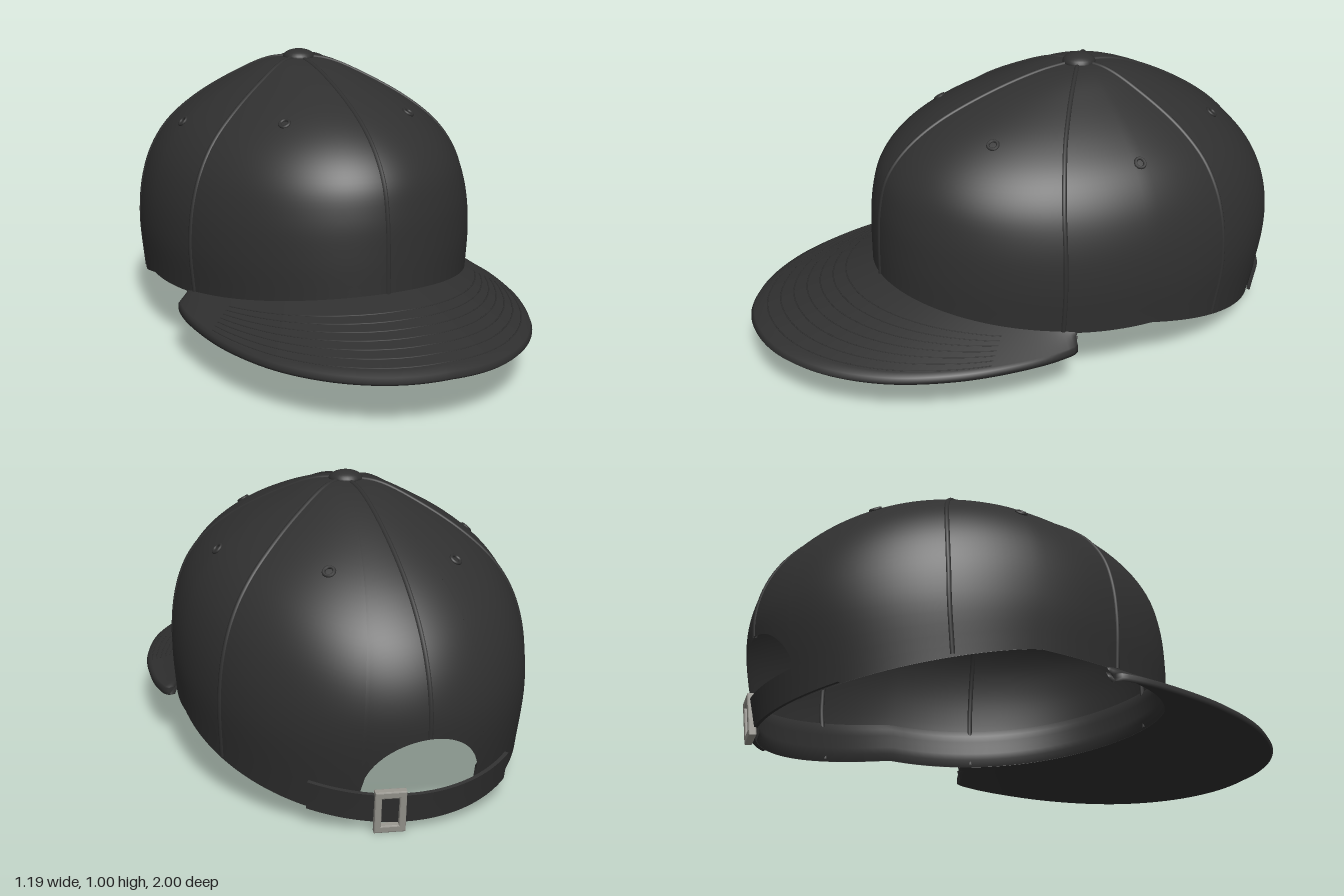
import * as THREE from 'three';
import { toCreasedNormals } from 'three/addons/utils/BufferGeometryUtils.js';

const rad = THREE.MathUtils.degToRad;
const lerp = THREE.MathUtils.lerp;
const TOP = 0.975, AXIS_Z = -0.25;

// Lower edge height of the crown at angle a (0 = front, PI = back)
function edgeY(a) {
  const c = Math.cos(a);
  return c > 0 ? 0.205 + 0.08 * c * c : 0.205 - 0.178 * Math.pow(-c, 1.05);
}

// Crown profiles as (radius, height), stored with the height as a 0..1 drop
function profile(points, a) {
  return new THREE.CatmullRomCurve3(points.map(([r, y]) =>
    new THREE.Vector3(r, (TOP - y) / (TOP - edgeY(a)), 0)));
}
const front = profile([[0, 0.975], [0.15, 0.96], [0.35, 0.91], [0.55, 0.832], [0.67, 0.75],
  [0.74, 0.66], [0.77, 0.55], [0.78, 0.42], [0.782, 0.285]], 0);
const side = profile([[0, 0.975], [0.1, 0.967], [0.23, 0.91], [0.37, 0.828], [0.47, 0.745],
  [0.535, 0.65], [0.575, 0.53], [0.59, 0.38], [0.578, 0.205]], Math.PI / 2);
const back = profile([[0, 0.975], [0.15, 0.955], [0.34, 0.875], [0.54, 0.745], [0.66, 0.62],
  [0.72, 0.51], [0.747, 0.4], [0.745, 0.3], [0.69, 0.027]], Math.PI);

function crownBase(a, t) {
  const c = Math.cos(a), s = Math.sin(a);
  const p = side.getPoint(t), q = (c > 0 ? front : back).getPoint(t);
  const drop = p.y * s * s + q.y * c * c;
  return new THREE.Vector3(p.x * s, TOP - drop * (TOP - edgeY(a)), AXIS_Z + q.x * c);
}
function crownNormal(a, t) {
  const k = Math.min(Math.max(t, 0.03), 0.98), e = 0.01;
  const da = crownBase(a + e, k).sub(crownBase(a - e, k));
  const dt = crownBase(a, k + e).sub(crownBase(a, k - e));
  return dt.cross(da).normalize();
}
function crownPoint(a, t, offset = 0) {
  const p = crownBase(a, t);
  return offset ? p.addScaledVector(crownNormal(a, t), offset) : p;
}
function tAtHeight(a, y) {
  let lo = 0, hi = 1;
  for (let i = 0; i < 24; i++) {
    const m = (lo + hi) / 2;
    if (crownBase(a, m).y > y) lo = m; else hi = m;
  }
  return (lo + hi) / 2;
}

// Surface from columns of points
function skin(columns, closed = false) {
  const n = columns[0].length, index = [];
  const last = closed ? columns.length : columns.length - 1;
  for (let i = 0; i < last; i++) {
    for (let j = 0; j < n - 1; j++) {
      const a = i * n + j, b = ((i + 1) % columns.length) * n + j;
      index.push(a, a + 1, b, b, a + 1, b + 1);
    }
  }
  const g = new THREE.BufferGeometry().setFromPoints(columns.flat());
  g.setIndex(index);
  g.computeVertexNormals();
  return g;
}
const range = (n, from, to) => Array.from({ length: n + 1 }, (_, i) => lerp(from, to, i / n));

export function createModel() {
  const group = new THREE.Group();
  const fabric = new THREE.MeshStandardMaterial({ color: 0x303030, side: THREE.DoubleSide });
  fabric.name = 'black fabric';
  const metal = new THREE.MeshStandardMaterial({ color: 0x97958e });
  metal.name = 'buckle metal';
  const add = (name, geometry, material = fabric) => {
    const m = new THREE.Mesh(geometry, material);
    m.name = name;
    group.add(m);
    return m;
  };

  // Crown, cut by an arched opening at the back
  const gap = rad(20), archWidth = 0.2;
  const angles = [
    ...range(80, 0, Math.PI - gap),
    ...range(32, Math.PI - gap + 1e-4, Math.PI + gap - 1e-4),
    ...range(80, Math.PI + gap, Math.PI * 2).slice(0, -1),
  ];
  add('crown', skin(angles.map((a) => {
    const d = Math.abs(a - Math.PI) / gap;
    const end = d < 1 ? tAtHeight(a, 0.12 + archWidth * 0.95 * Math.sqrt(1 - d * d)) : 1;
    return range(44, 0, end).map((t) => crownPoint(a, t));
  }), true));

  // Raised seams between the six panels
  for (const deg of [0, 66, 114, 180, 246, 294]) {
    const a = rad(deg);
    const end = deg === 180 ? tAtHeight(a, 0.315) : 0.995;
    const path = new THREE.CatmullRomCurve3(range(24, 0.03, end).map((t) => crownPoint(a, t, -0.003)));
    add('seam', new THREE.TubeGeometry(path, 60, 0.009, 8));
  }

  // Sewn eyelets, one per panel
  for (const [deg, t] of [[38, 0.385], [90, 0.475], [144, 0.37]]) {
    for (const sign of [1, -1]) {
      const a = rad(deg) * sign;
      const eyelet = add('eyelet', new THREE.TorusGeometry(0.017, 0.006, 8, 20));
      eyelet.position.copy(crownPoint(a, t, 0.001));
      eyelet.quaternion.setFromUnitVectors(new THREE.Vector3(0, 0, 1), crownNormal(a, t));
    }
  }

  // Top button
  const button = add('topButton', new THREE.SphereGeometry(0.059, 28, 14));
  button.scale.y = 0.5;
  button.position.set(0, 0.971, AXIS_Z);

  // Sweatband inside the lower edge
  add('sweatband', skin(range(100, -Math.PI + gap, Math.PI - gap).map((a) => {
    const start = tAtHeight(a, edgeY(a) + 0.15);
    return range(6, start, 1).map((t, j) => crownPoint(a, t, j === 0 || j === 6 ? -0.002 : -0.014));
  })));

  // Brim between the crown and its outer outline
  const half = [[0.548, 0.035], [0.575, 0.035], [0.592, 0.11], [0.59, 0.25], [0.553, 0.47],
    [0.46, 0.7], [0.32, 0.87], [0.16, 0.967]];
  const outline = new THREE.CatmullRomCurve3([
    ...half.map(([x, z]) => new THREE.Vector3(-x, 0, z)),
    new THREE.Vector3(0, 0, 0.995),
    ...half.slice().reverse().map(([x, z]) => new THREE.Vector3(x, 0, z)),
  ]);
  const brimPoint = (u, v) => {
    const a = u * rad(70);
    const inner = crownPoint(a, tAtHeight(a, edgeY(a) + 0.01), -0.006);
    const outer = outline.getPointAt((u + 1) / 2);
    outer.y = 0.184 - 0.012 * Math.sin(Math.PI * Math.abs(u));
    return inner.lerp(outer, v);
  };
  const thick = 0.026;
  add('brim', skin(range(110, -1, 1).map((u) => {
    const top = range(12, 0, 0.975).map((v) => brimPoint(u, v));
    const edge = brimPoint(u, 1);
    edge.y -= thick / 2;
    const under = top.map((p) => p.clone().setY(p.y - thick)).reverse();
    return [...top, edge, ...under];
  })));

  // Curved stitch rows on the brim
  for (let i = 0; i < 7; i++) {
    const v = 0.24 + i * 0.105;
    const path = new THREE.CatmullRomCurve3(range(40, -0.72, 0.72).map((u) => brimPoint(u, v)));
    add('brimStitching', new THREE.TubeGeometry(path, 80, 0.0025, 5));
  }

  // Back strap lying over the crown on both sides of the opening
  const reach = rad(35);
  const strapAngles = range(40, Math.PI - reach, Math.PI + reach);
  const strapColumn = (a, depth) => {
    const y = edgeY(a), t0 = tAtHeight(a, y + 0.1), t1 = tAtHeight(a, y + 0.003);
    const outer = range(4, t0, t1).map((t) => crownPoint(a, t, 0.002 + depth));
    const inner = range(4, t1, t0).map((t) => crownPoint(a, t, 0.002));
    return [...outer, ...inner, outer[0].clone()];
  };
  add('strap', toCreasedNormals(skin([
    strapColumn(strapAngles[0], 0),
    ...strapAngles.map((a) => strapColumn(a, 0.013)),
    strapColumn(strapAngles[40], 0),
  ]), rad(40)));

  // Rectangular buckle around the strap
  const rect = (Type, w, h) => new Type([[-w, -h], [w, -h], [w, h], [-w, h]]
    .map(([x, y]) => new THREE.Vector2(x, y)));
  const frame = rect(THREE.Shape, 0.046, 0.068);
  frame.holes.push(rect(THREE.Path, 0.032, 0.052));
  const buckleGeometry = new THREE.ExtrudeGeometry(frame, {
    depth: 0.018, bevelThickness: 0.004, bevelSize: 0.004, bevelSegments: 2,
  });
  buckleGeometry.translate(0, 0, -0.009);
  const buckle = add('buckle', buckleGeometry, metal);
  const ba = rad(169.3);
  buckle.position.copy(crownPoint(ba, tAtHeight(ba, 0.077), 0.016));
  buckle.rotation.set(0.12, ba, 0, 'YXZ');

  return group;
}
